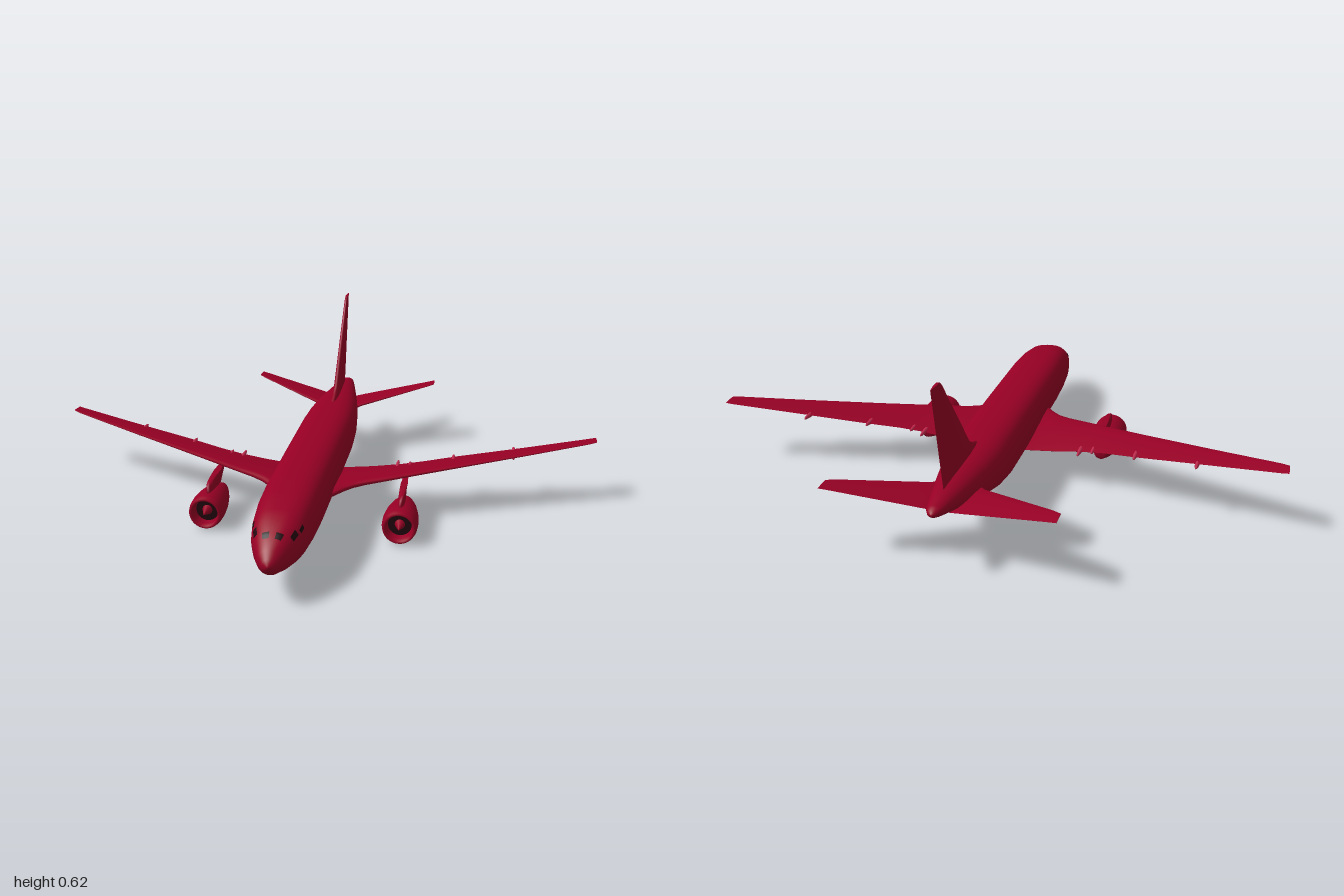
import * as THREE from 'three';

const V = (x, y, z) => new THREE.Vector3(x, y, z);
const mat = (name, color) => {
  const m = new THREE.MeshStandardMaterial({ color });
  m.name = name;
  return m;
};

function build(positions, index) {
  const g = new THREE.BufferGeometry();
  g.setAttribute('position', new THREE.Float32BufferAttribute(positions, 3));
  g.setIndex(index);
  g.computeVertexNormals();
  return g;
}

// Fuselage stations: z, bottom, top, half width, squareness
const STATIONS = [
  [0.797, 0.139, 0.147, 0.004, 2], [0.79, 0.122, 0.165, 0.021, 2],
  [0.77, 0.105, 0.187, 0.039, 2], [0.72, 0.091, 0.216, 0.062, 2.2],
  [0.67, 0.084, 0.236, 0.079, 2.4], [0.62, 0.08, 0.252, 0.088, 2.6],
  [0.52, 0.077, 0.266, 0.096, 2.8], [0.4, 0.075, 0.272, 0.1, 2.8],
  [0.1, 0.077, 0.274, 0.101, 2.8], [-0.25, 0.08, 0.275, 0.101, 2.8],
  [-0.36, 0.094, 0.274, 0.098, 2.6], [-0.48, 0.122, 0.271, 0.085, 2.4],
  [-0.6, 0.156, 0.266, 0.063, 2.2], [-0.7, 0.187, 0.258, 0.042, 2],
  [-0.77, 0.211, 0.25, 0.026, 2], [-0.79, 0.219, 0.244, 0.016, 2],
  [-0.797, 0.225, 0.236, 0.006, 2],
];

// Point on the hull at z and angle a (0 = left side, PI/2 = top)
function hullPoint(z, a, lift = 0) {
  let i = 0;
  while (i < STATIONS.length - 2 && z < STATIONS[i + 1][0]) i++;
  const A = STATIONS[i], B = STATIONS[i + 1];
  const t = (A[0] - z) / (A[0] - B[0]);
  const [, lo, hi, w, n] = A.map((v, k) => v + (B[k] - v) * t);
  const p = (v) => Math.sign(v) * Math.pow(Math.abs(v), 2 / n);
  return V(p(Math.cos(a)) * (w + lift), (lo + hi) / 2 + p(Math.sin(a)) * ((hi - lo) / 2 + lift), z);
}

function fuselageGeometry() {
  const pos = [], idx = [], N = 48, rings = STATIONS.length;
  for (const s of STATIONS)
    for (let j = 0; j < N; j++) pos.push(...hullPoint(s[0], (j / N) * Math.PI * 2));
  for (let i = 0; i < rings - 1; i++)
    for (let j = 0; j < N; j++) {
      const a = i * N + j, b = i * N + (j + 1) % N;
      idx.push(a, a + N, b, b, a + N, b + N);
    }
  // nose and tail tips
  pos.push(0, 0.143, 0.799, 0, 0.23, -0.799);
  const tip = rings * N, last = (rings - 1) * N;
  for (let j = 0; j < N; j++) {
    const k = (j + 1) % N;
    idx.push(tip, j, k, tip + 1, last + k, last + j);
  }
  return build(pos, idx);
}

// Window pane lying on the hull, spanning z and angle in degrees
function paneGeometry(z0, z1, a0, a1) {
  const pos = [], idx = [], n = 4, rad = Math.PI / 180;
  for (let i = 0; i <= n; i++)
    for (let j = 0; j <= n; j++)
      pos.push(...hullPoint(z0 + (z1 - z0) * i / n, (a0 + (a1 - a0) * j / n) * rad, 0.002));
  for (let i = 0; i < n; i++)
    for (let j = 0; j < n; j++) {
      const a = i * (n + 1) + j, c = a + n + 1;
      idx.push(a, c, a + 1, a + 1, c, c + 1);
    }
  return build(pos, idx);
}

// Airfoil loft; sections are [leading point, trailing point, thickness]
const FOIL = [[0, 0], [0.02, 0.5], [0.1, 0.85], [0.3, 1], [0.6, 0.7], [0.85, 0.28], [1, 0.03]];
const RING = [...FOIL, ...FOIL.slice(1).reverse().map(([t, h]) => [t, -h])];
function foilGeometry(sections, up) {
  const pos = [], idx = [], N = RING.length;
  const ring = ([lead, trail, th]) => RING.forEach(([t, h]) =>
    pos.push(...lead.clone().lerp(trail, t).addScaledVector(up, h * th / 2)));
  sections.forEach(ring);
  for (let i = 0; i < sections.length - 1; i++)
    for (let j = 0; j < N; j++) {
      const a = i * N + j, b = i * N + (j + 1) % N;
      idx.push(a, a + N, b, b, a + N, b + N);
    }
  // end caps
  const start = sections.length * N, end = start + N;
  ring(sections[0]);
  ring(sections[sections.length - 1]);
  for (let j = 1; j < N - 1; j++)
    idx.push(start, start + j, start + j + 1, end, end + j + 1, end + j);
  return build(pos, idx);
}

export function createModel() {
  const red = mat('crimson', 0x960024);
  const light = mat('light crimson', 0xbc2a4c);
  const dark = mat('dark glass', 0x20060c);
  const model = new THREE.Group();
  model.name = 'airliner';
  const add = (parent, name, geo, material) => {
    const m = new THREE.Mesh(geo, material);
    m.name = name;
    parent.add(m);
    return m;
  };

  add(model, 'fuselage', fuselageGeometry(), red);

  // Vertical fin: y, leading z, thickness
  const fin = [
    [0.25, -0.32, 0.022], [0.272, -0.36, 0.023], [0.288, -0.405, 0.024], [0.308, -0.44, 0.024],
    [0.34, -0.467, 0.023], [0.6, -0.682, 0.013], [0.612, -0.694, 0.012], [0.619, -0.71, 0.01],
  ].map(([y, z, th]) => [V(0, y, z), V(0, y, -0.687 - 0.239 * (y - 0.26)), th]);
  add(model, 'fin', foilGeometry(fin, V(-1, 0, 0)), red);

  // Wing: x, leading z, trailing z, leading y, trailing y, thickness
  const wing = foilGeometry([
    [0.04, 0.275, -0.08, 0.14, 0.113, 0.036], [0.1, 0.237, -0.08, 0.142, 0.117, 0.034],
    [0.13, 0.198, -0.081, 0.145, 0.12, 0.031], [0.16, 0.168, -0.082, 0.148, 0.123, 0.028],
    [0.2, 0.145, -0.083, 0.152, 0.127, 0.025], [0.3, 0.104, -0.087, 0.162, 0.141, 0.02],
    [0.38, 0.07, -0.1, 0.17, 0.152, 0.017], [0.5, 0.02, -0.131, 0.182, 0.168, 0.014],
    [0.75, -0.082, -0.185, 0.208, 0.2, 0.01], [0.975, -0.174, -0.236, 0.233, 0.23, 0.007],
    [1, -0.188, -0.241, 0.236, 0.234, 0.004],
  ].map(([x, zl, zt, yl, yt, th]) => [V(x, yl, zl), V(x, yt, zt), th]), V(0, 1, 0));

  // Tailplane: x, leading z, trailing z, y, thickness
  const tail = foilGeometry([
    [0.01, -0.5, -0.69, 0.184, 0.016], [0.065, -0.525, -0.706, 0.196, 0.015],
    [0.09, -0.553, -0.712, 0.201, 0.014], [0.345, -0.702, -0.771, 0.25, 0.006],
    [0.372, -0.722, -0.778, 0.255, 0.004],
  ].map(([x, zl, zt, y, th]) => [V(x, y, zl), V(x, y, zt), th]), V(0, 1, 0));

  // Engine pod, from rear centre over the lip into the intake
  const pod = new THREE.LatheGeometry([
    [0, 0.068], [0.014, 0.069], [0.023, 0.072], [0.033, 0.098], [0.046, 0.14], [0.056, 0.19], [0.061, 0.24],
    [0.06, 0.28], [0.056, 0.299], [0.052, 0.305], [0.047, 0.3], [0.043, 0.285], [0.04, 0.262],
  ].map(([r, z]) => new THREE.Vector2(r, z)), 32).rotateX(Math.PI / 2);
  const spinner = new THREE.ConeGeometry(0.018, 0.05, 24).rotateX(Math.PI / 2).translate(0, 0, 0.288);
  const fan = new THREE.CircleGeometry(0.042, 32).translate(0, 0, 0.264);

  // Pylon: y, leading z, trailing z
  const pylon = foilGeometry([
    [0.095, 0.255, 0.09], [0.125, 0.262, 0.05], [0.145, 0.255, 0.02], [0.154, 0.23, 0.01], [0.158, 0.18, 0],
  ].map(([y, zl, zt]) => [V(0.335, y, zl), V(0.335, y, zt), 0.024]), V(-1, 0, 0));

  const panes = [
    paneGeometry(0.735, 0.714, 62, 82), paneGeometry(0.708, 0.678, 28, 44), paneGeometry(0.666, 0.64, 24, 34),
  ];
  // Flap fairings, hung under the trailing edge: x, y, centre z, half length
  const fairings = [
    [0.29, 0.137, -0.05, 0.075], [0.335, 0.143, -0.036, 0.07],
    [0.49, 0.164, -0.086, 0.064], [0.705, 0.188, -0.149, 0.056],
  ];

  for (const side of [1, -1]) {
    const half = new THREE.Group();
    half.name = side > 0 ? 'leftSide' : 'rightSide';
    half.scale.x = side;
    model.add(half);
    add(half, 'wing', wing, red);
    add(half, 'tailplane', tail, red);
    add(half, 'pylon', pylon, red);
    const engine = new THREE.Group();
    engine.name = 'engine';
    engine.position.set(0.336, 0.064, 0);
    half.add(engine);
    add(engine, 'nacelle', pod, red);
    add(engine, 'fan', fan, dark);
    add(engine, 'spinner', spinner, red);
    panes.forEach((g) => add(half, 'cockpitWindow', g, dark));
    fairings.forEach(([x, y, z, len]) => {
      const f = add(half, 'flapFairing', new THREE.SphereGeometry(1, 16, 12), light);
      f.scale.set(0.008, 0.009, len);
      f.rotation.x = 0.05;
      f.position.set(x, y, z);
    });
  }
  return model;
}
